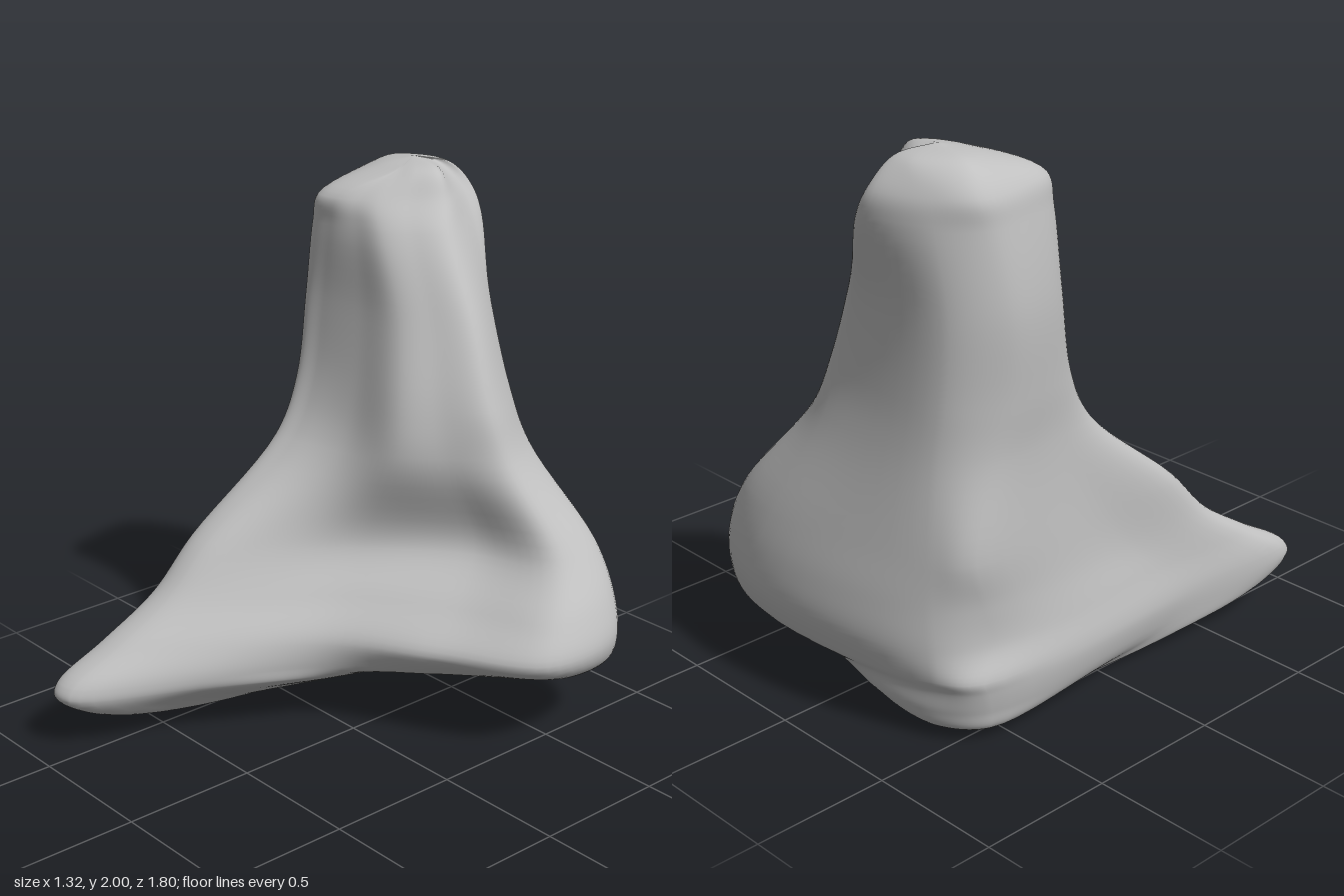
import * as THREE from 'three';
import { mergeVertices } from 'three/addons/utils/BufferGeometryUtils.js';

const { lerp, smoothstep } = THREE.MathUtils;
const RAILS = 11;   // control points in each cross-section
const AROUND = 88;  // vertices around the body
const PER_SPAN = 7; // rows between neighbouring cross-sections

// Cross-section at height y, built by rule from the toe's reach, the crotch
// between toe and lobe, the lobe's front corner, the back and the outer side.
function section([y, toeZ, crotchX, crotchZ, lobeX, lobeZ, backZ, sideX]) {
  const at = (x, z) => new THREE.Vector3(x, y, z);
  const column = smoothstep(y, 0.6, 1.1);
  const toeOuter = at(sideX + 0.05 - 0.09 * toeZ, toeZ);
  const toeInner = at(toeOuter.x + 0.1, toeZ);
  const crotch = at(crotchX, crotchZ);
  const toeFlank = toeInner.clone().lerp(crotch, 0.5);
  const lobeFront = at(lobeX, lobeZ);
  const lobeBack = at(lobeX - 0.02 - 0.08 * column, lerp(lobeZ, backZ, 0.7));
  const side = at(sideX, (lobeZ + lobeBack.z) / 2);
  // the outer side is slightly hollow at the foot and rounded on the column
  const sideFront = toeOuter.clone().lerp(side, 0.4);
  sideFront.x += 0.01 - 0.04 * column;
  // the front of the lobe is hollowed out above its ridge
  const lobeFlank = crotch.clone().lerp(lobeFront, 0.5);
  lobeFlank.z += 0.02 - 0.1 * Math.exp(-(((y - 0.62) / 0.15) ** 2));
  return [
    toeOuter,
    toeInner,
    toeFlank,
    crotch,
    lobeFlank,
    lobeFront,
    lobeBack,
    at(lerp(sideX, lobeX, 0.72), backZ),
    at(sideX + 0.13, lerp(backZ, -0.7, 0.65)),
    side,
    sideFront,
  ];
}

// A closed end, where all rails meet.
function pole(x, y, z) {
  return Array.from({ length: RAILS }, () => new THREE.Vector3(x, y, z));
}

// Smooth skin over the cross-sections: curves run upward, then around.
function loft(sections) {
  const rails = [];
  for (let i = 0; i < RAILS; i++) {
    rails.push(new THREE.CatmullRomCurve3(sections.map((s) => s[i])));
  }
  const rows = (sections.length - 1) * PER_SPAN;
  const positions = [];
  const index = [];
  for (let j = 0; j <= rows; j++) {
    const ring = new THREE.CatmullRomCurve3(rails.map((r) => r.getPoint(j / rows)), true);
    for (let i = 0; i < AROUND; i++) {
      const p = ring.getPoint(i / AROUND);
      positions.push(p.x, p.y, p.z);
    }
  }
  for (let j = 0; j < rows; j++) {
    for (let i = 0; i < AROUND; i++) {
      const a = j * AROUND + i;
      const b = j * AROUND + ((i + 1) % AROUND);
      const c = b + AROUND;
      const d = a + AROUND;
      index.push(a, b, c, a, c, d);
    }
  }
  const geometry = new THREE.BufferGeometry();
  geometry.setAttribute('position', new THREE.Float32BufferAttribute(positions, 3));
  geometry.setIndex(index);
  const merged = mergeVertices(geometry, 1e-4);
  merged.computeVertexNormals();
  return merged;
}

export function createModel() {
  const group = new THREE.Group();
  group.name = 'footShapedBody';
  const grey = new THREE.MeshStandardMaterial({ color: 0xc0c0c0 });
  grey.name = 'plainGrey';

  // y, toe z, crotch x and z, lobe x and z, back z, side x
  const levels = [
    // heel, toe tip and underside of the lobe
    [0.05, 0.35, -0.28, -0.2, -0.21, -0.52, -0.71, -0.57],
    [0.12, 0.76, -0.18, -0.06, -0.06, -0.5, -0.77, -0.59],
    [0.2, 0.88, -0.08, 0.05, 0.16, -0.52, -0.8, -0.6],
    [0.25, 0.86, -0.06, 0.07, 0.56, -0.52, -0.86, -0.6],
    [0.36, 0.68, -0.05, 0.07, 0.64, -0.35, -0.89, -0.59],
    // hollow between toe and lobe
    [0.5, 0.47, -0.08, -0.03, 0.6, -0.42, -0.89, -0.58],
    [0.68, 0.3, -0.1, -0.15, 0.49, -0.54, -0.86, -0.58],
    // upright column
    [1, -0.07, 0.01, -0.17, 0.3, -0.47, -0.76, -0.57],
    [1.2, -0.18, 0, -0.2, 0.24, -0.43, -0.72, -0.59],
    [1.5, -0.24, -0.08, -0.27, 0.12, -0.45, -0.72, -0.61],
    // small front lip and rounded crown
    [1.78, -0.25, -0.2, -0.3, -0.04, -0.48, -0.79, -0.58],
    [1.88, -0.26, -0.25, -0.34, -0.11, -0.53, -0.78, -0.56],
    [1.97, -0.45, -0.27, -0.46, -0.17, -0.55, -0.69, -0.48],
  ];

  const sections = [pole(-0.45, 0, -0.53), ...levels.map(section), pole(-0.32, 2, -0.57)];
  const body = new THREE.Mesh(loft(sections), grey);
  body.name = 'body';
  group.add(body);
  return group;
}
